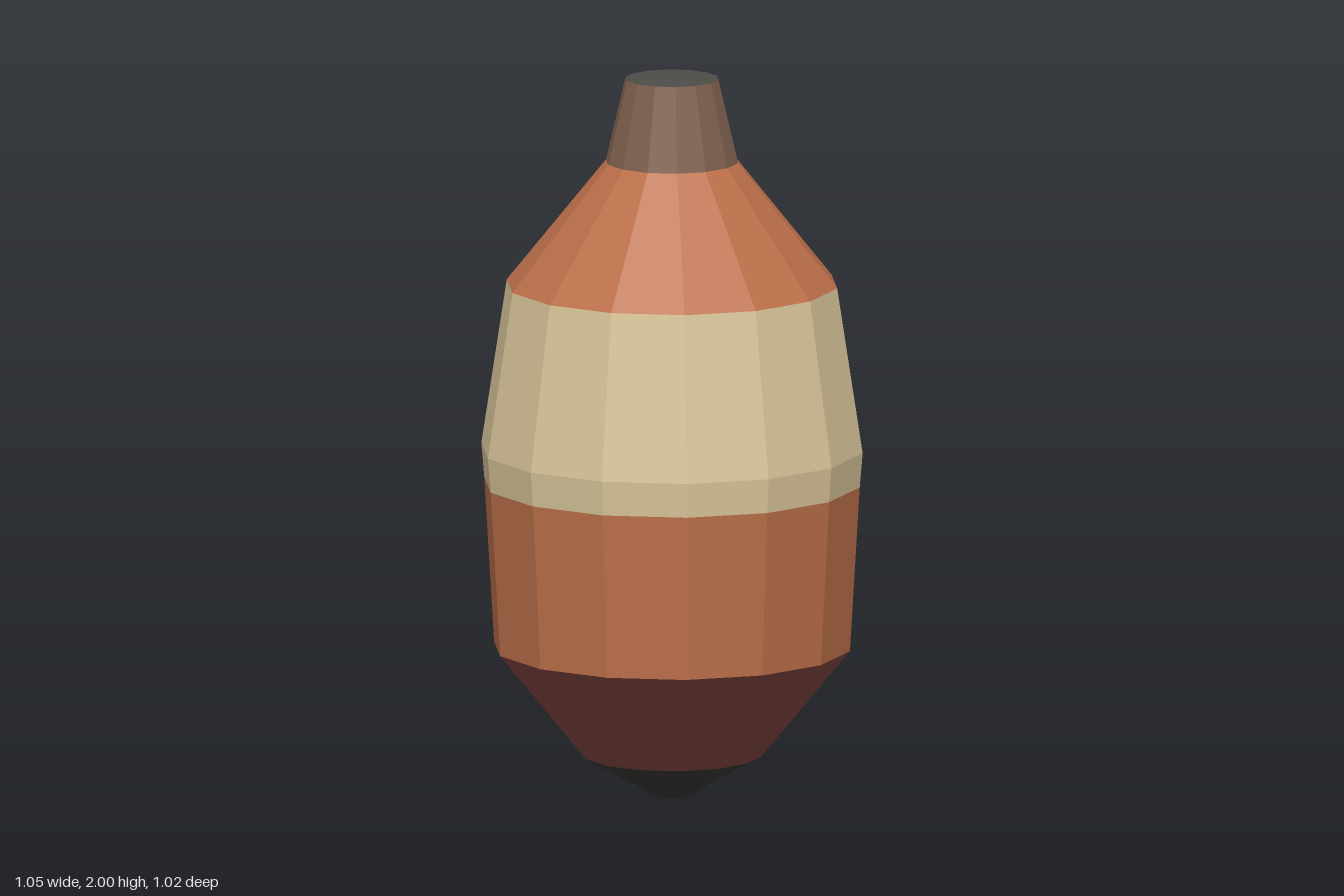
import * as THREE from 'three';

const SIDES = 14;

export function createModel() {
  const model = new THREE.Group();
  model.name = 'bandedFloat';

  const paint = (name, color) => {
    const m = new THREE.MeshStandardMaterial({ color, flatShading: true });
    m.name = name;
    return m;
  };
  const charcoal = paint('charcoal', 0x373533);
  const maroon = paint('maroon', 0x7f453f);
  const orange = paint('burnt orange', 0xbd704a);
  const cream = paint('cream', 0xdac69a);
  const brown = paint('brown', 0x80614f);
  const grey = paint('warm grey', 0x4d4c47);

  // One faceted band through [radius, height] rings, with a corner on the x axis
  const band = (name, material, rings) => {
    const points = rings.map(([r, y]) => new THREE.Vector2(r, y));
    const geometry = new THREE.LatheGeometry(points, SIDES, Math.PI / 2);
    const mesh = new THREE.Mesh(geometry, material);
    mesh.name = name;
    model.add(mesh);
  };

  // Bottom to top
  band('bottomPlug', maroon, [[0, 0], [0.04, 0]]);
  band('tip', charcoal, [[0.04, 0], [0.245, 0.115]]);
  band('lowerTaper', maroon, [[0.245, 0.115], [0.49, 0.415]]);
  band('lowerBody', orange, [[0.49, 0.415], [0.517, 0.87]]);
  band('middleBand', cream, [[0.517, 0.87], [0.525, 0.965], [0.455, 1.42]]);
  band('shoulder', orange, [[0.455, 1.42], [0.182, 1.76]]);
  band('neck', brown, [[0.182, 1.76], [0.128, 1.99]]);
  band('topCap', grey, [[0.128, 1.99], [0, 2]]);

  return model;
}
